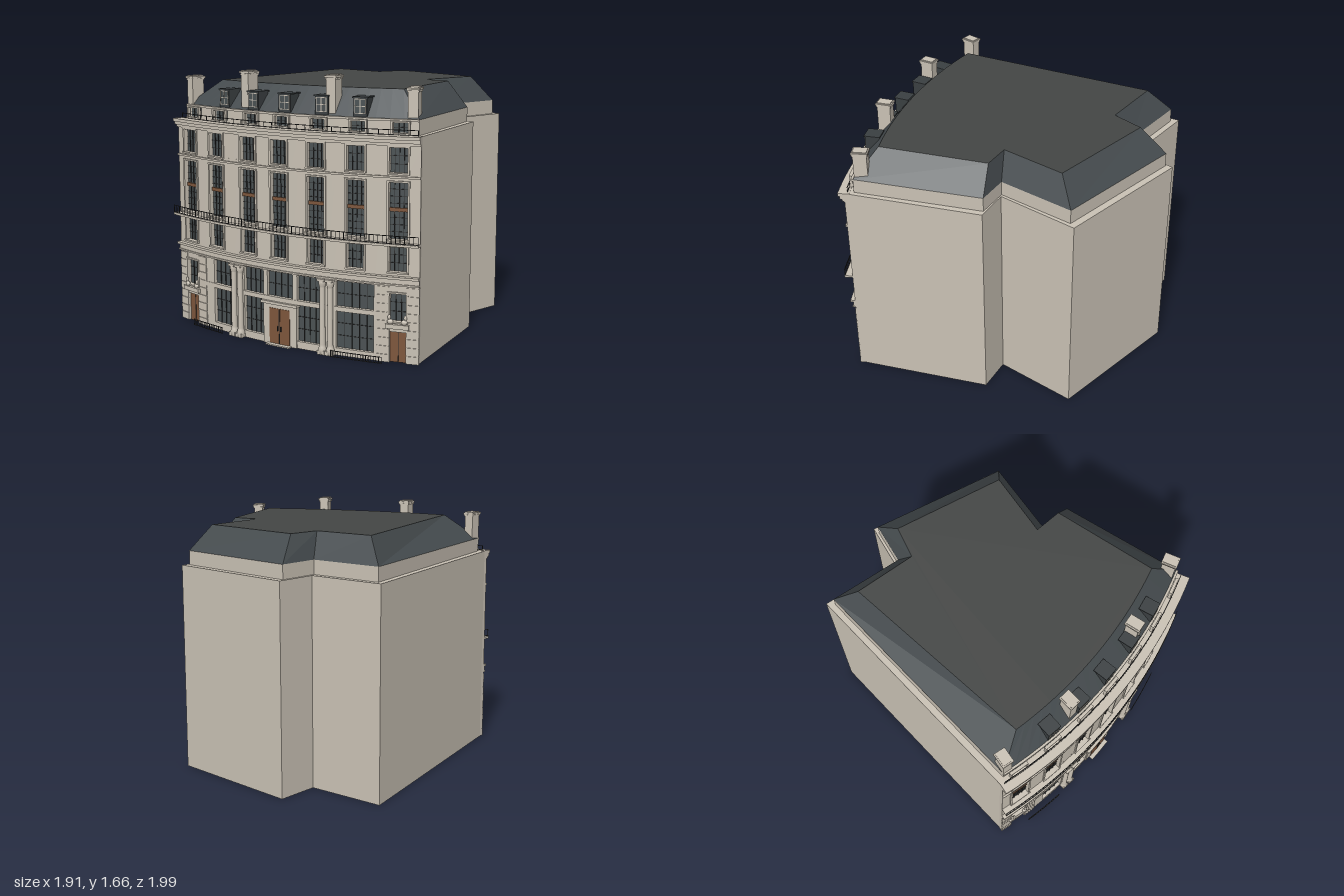
import * as THREE from 'three';

const mat = (color) => new THREE.MeshStandardMaterial({ color });
const stone = mat(0xc9c1b4), slate = mat(0x454b4e), roofFlat = mat(0x434544), glass = mat(0x4a5153);
const wood = mat(0x7d563c), iron = mat(0x2b2b2b), under = mat(0x3c3835), dormerDark = mat(0x3a3f41);

// The facade follows an arc; "off" is the distance in front of the wall face.
const R = 3.06, CX = 0.6, CZ = 0.945 - R;
const XL = -0.94, XR = 0.81;
const angle = (x) => Math.asin((x - CX) / R);
const onArc = (t, off) => [CX + (R + off) * Math.sin(t), CZ + (R + off) * Math.cos(t)];

// Box bent along the facade arc
function block(parent, name, material, x0, x1, y0, y1, o0, o1) {
  const n = Math.max(1, Math.round((x1 - x0) / 0.07));
  const g = new THREE.BoxGeometry(1, 1, 1, n, 1, 1), p = g.attributes.position;
  const t0 = angle(x0), t1 = angle(x1);
  for (let i = 0; i < p.count; i++) {
    const [x, z] = onArc(t0 + (t1 - t0) * (p.getX(i) + 0.5), o0 + (o1 - o0) * (p.getZ(i) + 0.5));
    p.setXYZ(i, x, y0 + (y1 - y0) * (p.getY(i) + 0.5), z);
  }
  g.computeVertexNormals();
  const m = new THREE.Mesh(g, material);
  m.name = name;
  parent.add(m);
  return m;
}

function group(parent, name) {
  const g = new THREE.Group();
  g.name = name;
  parent.add(g);
  return g;
}

// Group standing on the arc and facing outwards
function standing(parent, name, x, off) {
  const g = group(parent, name), [px, pz] = onArc(angle(x), off);
  g.position.set(px, 0, pz);
  g.rotation.y = angle(x);
  return g;
}

function put(parent, name, geometry, material, x, y, z) {
  const m = new THREE.Mesh(geometry, material);
  m.name = name;
  m.position.set(x, y, z);
  parent.add(m);
  return m;
}

// Plan outline: curved front from left to right, then the corners of the rear
function outline(x0, x1, off, rear) {
  const pts = [], n = 20, t0 = angle(x0), t1 = angle(x1);
  for (let i = 0; i <= n; i++) pts.push(onArc(t0 + (t1 - t0) * i / n, off));
  return pts.concat(rear);
}

// Walls between two outlines of equal length
function loft(parent, name, material, a, ya, b, yb) {
  const v = [];
  a.forEach((p, i) => {
    const j = (i + 1) % a.length, q = a[j], r = b[j], s = b[i];
    v.push(p[0], ya, p[1], q[0], ya, q[1], r[0], yb, r[1], p[0], ya, p[1], r[0], yb, r[1], s[0], yb, s[1]);
  });
  const g = new THREE.BufferGeometry();
  g.setAttribute('position', new THREE.Float32BufferAttribute(v, 3));
  g.computeVertexNormals();
  return put(parent, name, g, material, 0, 0, 0);
}

function slab(parent, name, material, ring, y, down) {
  const g = new THREE.ShapeGeometry(new THREE.Shape(ring.map(([x, z]) => new THREE.Vector2(x, down ? z : -z))));
  g.rotateX(down ? Math.PI / 2 : -Math.PI / 2);
  put(parent, name, g, material, 0, y, 0);
}

// Glazing bars and stone surround for one opening
function windowFrame(parent, x, w, y0, y1, cols, rows, base = 0) {
  const g = group(parent, 'window'), l = x - w / 2, r = x + w / 2, e = 0.012;
  block(g, 'leftJamb', stone, l - e, l, y0, y1, base - 0.01, base + 0.008);
  block(g, 'rightJamb', stone, r, r + e, y0, y1, base - 0.01, base + 0.008);
  block(g, 'lintel', stone, l - e, r + e, y1, y1 + 0.01, base - 0.01, base + 0.01);
  block(g, 'sill', stone, l - e, r + e, y0 - 0.01, y0, base - 0.01, base + 0.014);
  bars(g, l, r, y0, y1, cols, rows, base);
}

function bars(g, l, r, y0, y1, cols, rows, base = 0) {
  const b = 0.0016;
  for (let i = 1; i < cols; i++) {
    const c = l + (r - l) * i / cols;
    block(g, 'glazingBar', iron, c - b, c + b, y0, y1, base - 0.024, base - 0.017);
  }
  for (let i = 1; i < rows; i++) {
    const c = y0 + (y1 - y0) * i / rows;
    block(g, 'glazingRail', iron, l, r, c - b, c + b, base - 0.024, base - 0.018);
  }
}

function railing(parent, name, x0, x1, y0, y1, off, step) {
  const g = group(parent, name), n = Math.round((x1 - x0) / step);
  for (const y of [y0 + 0.006, y1]) block(g, 'rail', iron, x0, x1, y - 0.004, y, off - 0.004, off);
  for (let i = 0; i <= n; i++) {
    const x = x0 + 0.002 + (x1 - x0 - 0.004) * i / n;
    block(g, 'baluster', iron, x - 0.0015, x + 0.0015, y0, y1, off - 0.004, off - 0.001);
  }
}

export function createModel() {
  const model = new THREE.Group();
  model.name = 'curvedTownBuilding';

  // Main body, set-back attic and mansard roof
  const wall = outline(XL, XR, -0.03, [[0.9, 0.085], [0.69, 0.01], [0.947, -0.455], [0.206, -0.98], [0.058, -0.75], [-0.386, -0.995]]);
  const attic = outline(-0.905, 0.785, -0.055, [[0.86, 0.085], [0.67, 0.01], [0.905, -0.43], [0.196, -0.935], [0.053, -0.71], [-0.365, -0.94]]);
  const top = outline(-0.73, 0.65, -0.193, [[0.73, 0.075], [0.566, 0.01], [0.77, -0.36], [0.18, -0.767], [0.053, -0.6], [-0.3, -0.78]]);
  loft(model, 'outerWalls', stone, wall, 0, wall, 1.33);
  slab(model, 'wallLedge', stone, wall, 1.33, false);
  slab(model, 'underside', under, wall, 0, true);
  loft(model, 'atticWalls', stone, attic, 1.33, attic, 1.42);
  loft(model, 'mansardSlopes', slate, attic, 1.42, top, 1.58);
  slab(model, 'flatRoof', roofFlat, top, 1.58, false);

  // Upper facade: solid bands, piers and glass between them
  const facade = group(model, 'facade');
  const bays = [-0.82, -0.583, -0.323, -0.092, 0.164, 0.42, 0.68];
  for (const [a, b] of [[0.455, 0.545], [0.69, 0.735], [1.065, 1.12], [1.265, 1.33]])
    block(facade, 'wallBand', stone, XL, XR, a, b, -0.03, 0);
  for (const [a, b, w, cols, rows] of [[0.545, 0.69, 0.104, 4, 3], [0.735, 1.065, 0.112, 4, 8], [1.12, 1.265, 0.108, 4, 3]]) {
    block(facade, 'glass', glass, XL + 0.02, XR - 0.02, a, b, -0.03, -0.022);
    for (let i = 0; i <= bays.length; i++) {
      const l = i ? bays[i - 1] + w / 2 : XL, r = i < bays.length ? bays[i] - w / 2 : XR;
      block(facade, 'pier', stone, l, r, a, b, -0.03, 0);
    }
    for (const x of bays) {
      windowFrame(facade, x, w, a, b, cols, rows);
      if (rows === 8) block(facade, 'windowSpandrel', wood, x - w / 2, x + w / 2, 0.895, 0.917, -0.025, -0.012);
    }
  }
  // Attic windows
  for (const x of bays) {
    block(facade, 'atticGlass', glass, x - 0.045, x + 0.045, 1.345, 1.403, -0.06, -0.051);
    windowFrame(facade, x, 0.09, 1.345, 1.403, 3, 2, -0.03);
  }

  // Mouldings: name, bottom, top, projection
  for (const [name, a, b, o] of [['fascia', 0.475, 0.505, 0.012], ['fasciaCornice', 0.505, 0.52, 0.03], ['fasciaBead', 0.465, 0.475, 0.02],
    ['stringCourse', 1.09, 1.102, 0.012], ['corniceBed', 1.275, 1.292, 0.014], ['cornice', 1.292, 1.312, 0.028], ['corniceLip', 1.312, 1.332, 0.04],
    ['balconySlab', 0.702, 0.716, 0.05]])
    block(facade, name, stone, XL, XR, a, b, -0.03, o);
  block(facade, 'atticCoping', stone, -0.905, 0.785, 1.408, 1.422, -0.07, -0.042);
  railing(model, 'balconyRailing', XL, XR, 0.716, 0.766, 0.049, 0.026);
  railing(model, 'parapetRailing', XL + 0.02, XR - 0.02, 1.332, 1.365, -0.015, 0.06);

  // Ground floor: end bays with a door, a window above and carved brackets
  const ground = group(model, 'groundFloor');
  for (const [l, r, c] of [[XL, -0.69, -0.82], [0.555, XR, 0.682]]) {
    const h = 0.05;
    for (const [a, b] of [[l, c - h], [c + h, r]]) {
      block(ground, 'endPier', stone, a, b, 0, 0.455, -0.03, 0);
      for (let i = 0; i < 9; i++) block(ground, 'stoneCourse', stone, a, b, i * 0.051, i * 0.051 + 0.046, -0.005, 0.005);
    }
    block(ground, 'doorHead', stone, c - h, c + h, 0.185, 0.25, -0.03, 0);
    block(ground, 'windowHead', stone, c - h, c + h, 0.415, 0.455, -0.03, 0);
    block(ground, 'sideGlass', glass, c - h, c + h, 0.25, 0.415, -0.03, -0.022);
    windowFrame(ground, c, 0.1, 0.25, 0.415, 3, 3);
    block(ground, 'sideDoor', wood, c - h, c + h, 0, 0.185, -0.03, -0.014);
    block(ground, 'doorSplit', iron, c - 0.0015, c + 0.0015, 0.005, 0.18, -0.016, -0.012);
    block(ground, 'doorPlaque', stone, c - 0.07, c + 0.07, 0.208, 0.235, 0, 0.022);
    for (const s of [-1, 1]) {
      const carving = standing(ground, 'carvedBracket', c + s * 0.042, 0.012);
      put(carving, 'scrollBase', new THREE.SphereGeometry(0.016, 12, 8), stone, 0, 0.25, 0).scale.set(1.2, 1, 0.8);
      put(carving, 'scrollTop', new THREE.SphereGeometry(0.012, 12, 8), stone, s * 0.006, 0.276, 0).scale.set(0.8, 1.4, 0.8);
    }
  }

  // Shopfront glazing, piers and transom
  block(ground, 'shopGlass', glass, -0.69, 0.555, 0.045, 0.455, -0.03, -0.022);
  block(ground, 'shopPlinth', stone, -0.69, 0.555, 0, 0.045, -0.03, 0);
  block(ground, 'shopTransom', stone, -0.69, 0.555, 0.272, 0.3, -0.03, 0.004);
  for (const [a, b] of [[-0.69, -0.62], [-0.46, -0.365], [-0.215, -0.185], [0, 0.03], [0.19, 0.295], [0.535, 0.555]])
    block(ground, 'shopPier', stone, a, b, 0, 0.455, -0.03, 0);
  for (const [a, b] of [[-0.62, -0.46], [-0.365, -0.215], [-0.185, 0], [0.03, 0.19], [0.295, 0.535]])
    for (const [y0, y1, rows] of [[0.045, 0.272, 3], [0.3, 0.455, 2]]) bars(ground, a, b, y0, y1, b - a > 0.2 ? 5 : 4, rows);

  // Central entrance
  const c = -0.09;
  block(ground, 'portal', stone, -0.21, 0.03, 0, 0.265, -0.022, 0.008);
  block(ground, 'portalCap', stone, -0.22, 0.04, 0.255, 0.272, -0.02, 0.022);
  block(ground, 'mainDoor', wood, c - 0.073, c + 0.073, 0.008, 0.23, 0, 0.011);
  for (const s of [-1, 1]) {
    block(ground, 'doorPanelEdge', iron, c + s * 0.003 - 0.001, c + s * 0.003 + 0.001, 0.01, 0.228, 0.01, 0.013);
    block(ground, 'doorHandle', iron, c + s * 0.012 - 0.002, c + s * 0.012 + 0.002, 0.09, 0.12, 0.01, 0.018);
  }
  block(ground, 'doorStep', stone, c - 0.085, c + 0.085, 0, 0.008, 0, 0.04);

  // Paired columns
  const profile = [[0, 0], [0.026, 0], [0.026, 0.03], [0.021, 0.045], [0.018, 0.06], [0.016, 0.41], [0.018, 0.415], [0.023, 0.435], [0.023, 0.458], [0, 0.458]]
    .map(([x, y]) => new THREE.Vector2(x, y));
  const columnGeometry = new THREE.LatheGeometry(profile, 20);
  for (const x of [-0.438, -0.386, 0.212, 0.264]) {
    const g = standing(ground, 'column', x, 0.014);
    put(g, 'shaft', columnGeometry, stone, 0, 0, 0);
    put(g, 'plinth', new THREE.BoxGeometry(0.05, 0.025, 0.05), stone, 0, 0.0125, 0);
    put(g, 'abacus', new THREE.BoxGeometry(0.05, 0.015, 0.05), stone, 0, 0.457, 0);
  }

  // Street railings
  railing(model, 'streetRailing', -0.765, -0.51, 0, 0.042, 0.05, 0.016);
  railing(model, 'streetRailing', 0.28, 0.6, 0, 0.042, 0.05, 0.016);

  // Dormers
  for (const x of [-0.56, -0.323, -0.085, 0.172, 0.425]) {
    const g = standing(model, 'dormer', x, -0.1);
    put(g, 'dormerBody', new THREE.BoxGeometry(0.086, 0.11, 0.09), dormerDark, 0, 1.48, 0);
    put(g, 'dormerRoof', new THREE.BoxGeometry(0.096, 0.008, 0.1), dormerDark, 0, 1.536, 0);
    put(g, 'dormerGlass', new THREE.BoxGeometry(0.07, 0.085, 0.004), glass, 0, 1.485, 0.045);
    for (const s of [-1, 0, 1]) {
      put(g, 'dormerBar', new THREE.BoxGeometry(0.004, 0.085, 0.006), stone, s * 0.033, 1.485, 0.046);
      put(g, 'dormerRail', new THREE.BoxGeometry(0.07, 0.004, 0.006), stone, 0, 1.485 + s * 0.041, 0.046);
    }
  }

  // Chimneys: position, offset, top
  for (const [x, off, h] of [[-0.835 - 0.045, -0.095, 1.605], [-0.365 - 0.035, -0.11, 1.66], [0.24 - 0.012, -0.11, 1.66], [0.745, -0.105, 1.605]]) {
    const g = standing(model, 'chimney', x, off);
    put(g, 'stack', new THREE.BoxGeometry(0.06, h - 1.38, 0.085), stone, 0, (h + 1.38) / 2, 0);
    put(g, 'cap', new THREE.BoxGeometry(0.078, 0.012, 0.1), stone, 0, h - 0.012, 0);
    put(g, 'collar', new THREE.BoxGeometry(0.07, 0.01, 0.094), stone, 0, h - 0.025, 0);
  }
  return model;
}
